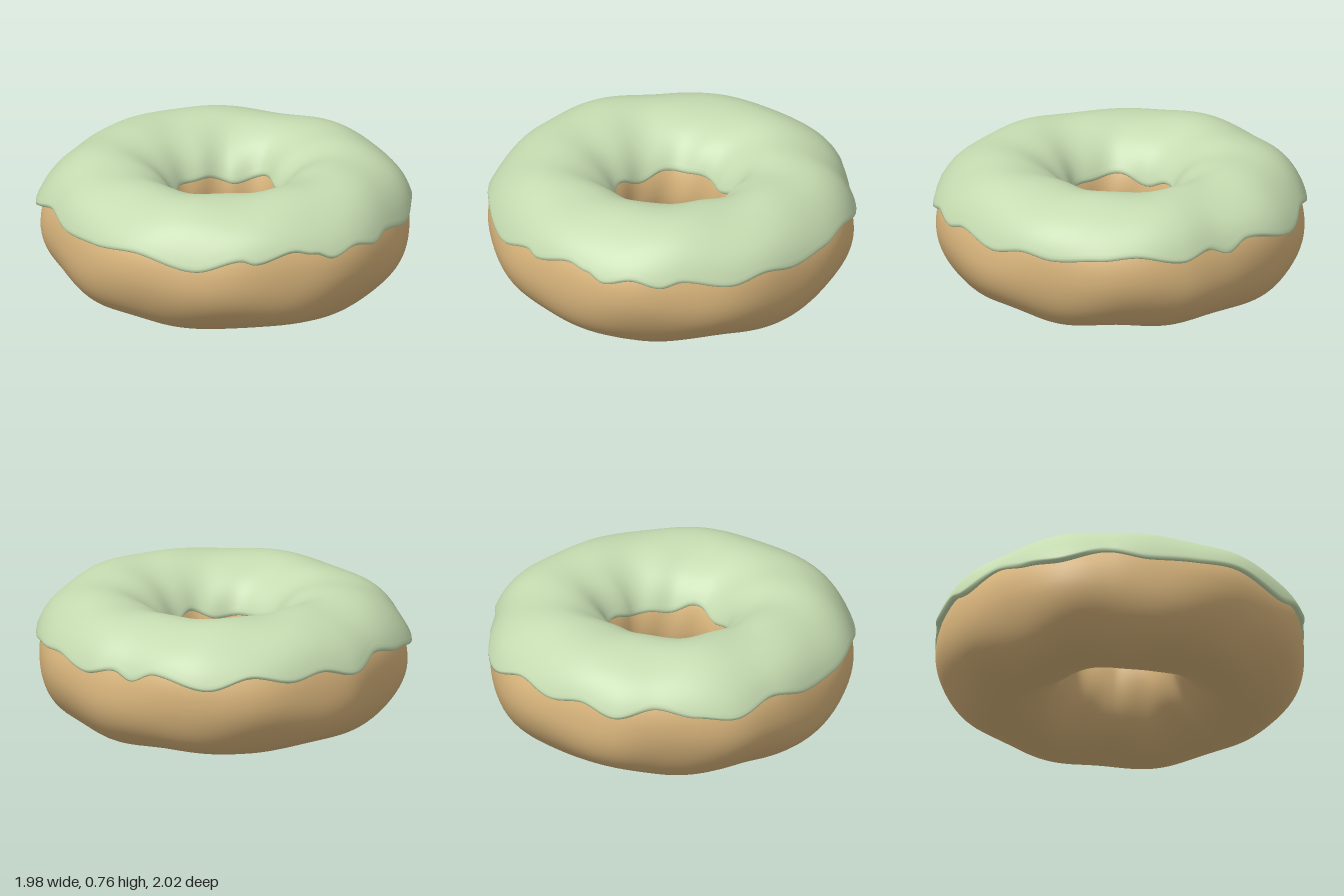
import * as THREE from 'three';

const RAD = Math.PI / 180, RING = 0.64, MID = 0.37;

// Heights of the icing's outer edge: [degrees around from the front towards +x, y]
const DRIPS = [[0, 0.52], [6, 0.48], [15, 0.51], [24, 0.48], [31, 0.51], [47, 0.465], [59, 0.5], [69, 0.48],
  [84, 0.5], [96, 0.52], [111, 0.48], [121, 0.52], [128, 0.48], [136, 0.53], [154, 0.47], [168, 0.53],
  [181, 0.49], [192, 0.52], [204, 0.47], [217, 0.53], [230, 0.49], [241, 0.47], [256, 0.53], [270, 0.49],
  [284, 0.5], [300, 0.52], [321, 0.46], [336, 0.52], [340, 0.5], [353, 0.545], [360, 0.52]];

// Uneven outer radius and hole radius around the ring
const OUTER = [[0, 1], [45, 0.985], [90, 0.985], [112, 1], [127, 0.965], [154, 1.02], [180, 1], [203, 1.01],
  [217, 0.98], [241, 1.025], [258, 0.985], [270, 0.985], [315, 0.985], [360, 1]];
const HOLE = [[0, 0.28], [45, 0.28], [90, 0.3], [122, 0.345], [150, 0.31], [180, 0.29], [225, 0.3],
  [270, 0.305], [320, 0.315], [360, 0.28]];

// Smooth interpolation through a closed table
function around(table, u) {
  const d = (((u / RAD) % 360) + 360) % 360;
  let i = 0;
  while (i < table.length - 2 && table[i + 1][0] <= d) i++;
  const [a, p] = table[i], [b, q] = table[i + 1];
  return p + (q - p) * THREE.MathUtils.smoothstep(d, a, b);
}

// Point on the dough: u around the ring, v around the tube (0 outer, 90 degrees top), raised by lift
function doughPoint(u, v, lift) {
  const c = Math.cos(v), s = Math.sin(v);
  const outer = 0.345 + (around(OUTER, u) - 0.985) * (lift > 0.02 ? 1 : 0.6);
  const inner = RING - around(HOLE, u) + 0.005;
  const lumps = 0.006 * Math.sin(5 * u + 2 * v) * Math.sin(3 * v + 1) + 0.004 * Math.sin(9 * u - 3 * v);
  const topSwell = s > 0 ? 0.007 * s * Math.cos(2 * u - 0.9) : 0.01 * s * Math.sin(7 * u) * s * s;
  const r = RING + c * ((c > 0 ? outer : inner) + lift + lumps);
  const flat = s > 0 ? Math.pow(s, 0.93) : s;
  const y = MID + flat * (0.35 + lift + lumps) + topSwell;
  return [r * Math.sin(u), y, r * Math.cos(u)];
}

// Smooth skin over a grid of points, closed around the ring and optionally around the section
function sweep(name, color, nu, nv, closed, point) {
  const pos = [], idx = [], rows = closed ? nv : nv - 1;
  for (let i = 0; i < nu; i++)
    for (let j = 0; j < nv; j++) pos.push(...point((i / nu) * Math.PI * 2, j));
  for (let i = 0; i < nu; i++)
    for (let j = 0; j < rows; j++) {
      const n = ((i + 1) % nu) * nv, k = (j + 1) % nv, m = i * nv;
      idx.push(m + j, n + j, n + k, m + j, n + k, m + k);
    }
  const geo = new THREE.BufferGeometry();
  geo.setAttribute('position', new THREE.Float32BufferAttribute(pos, 3));
  geo.setIndex(idx);
  geo.computeVertexNormals();
  const mesh = new THREE.Mesh(geo, new THREE.MeshStandardMaterial({ color, side: THREE.DoubleSide }));
  mesh.name = name;
  return mesh;
}

export function createModel() {
  const group = new THREE.Group();
  group.name = 'donut';

  // Baked ring
  const nv = 72;
  group.add(sweep('dough', 0xd9b57c, 180, nv, true, (u, j) => doughPoint(u, (j / nv) * Math.PI * 2, 0)));

  // Icing shell with a rounded lip: [angle inwards from the edge, lift]
  const lip = [[0.1, -0.012], [0.02, -0.002], [-0.02, 0.008], [-0.03, 0.018], [-0.015, 0.027], [0.02, 0.031], [0.07, 0.03]];
  const top = 48, count = lip.length * 2 + top;
  group.add(sweep('icing', 0xc5dbb0, 288, count, false, (u, j) => {
    const start = Math.asin((around(DRIPS, u) - MID) / 0.375);
    const innerEdge = 0.5 + 0.02 * Math.sin(4 * u + 0.6) + 0.012 * Math.sin(7 * u);
    const end = Math.PI - Math.asin((innerEdge - MID) / 0.375);
    if (j < lip.length) return doughPoint(u, start + lip[j][0], lip[j][1]);
    if (j >= lip.length + top) {
      const [a, lift] = lip[count - 1 - j];
      return doughPoint(u, end - a, lift);
    }
    const t = (j - lip.length + 1) / (top + 1);
    return doughPoint(u, start + 0.07 + (end - start - 0.14) * t, 0.03);
  }));

  return group;
}
